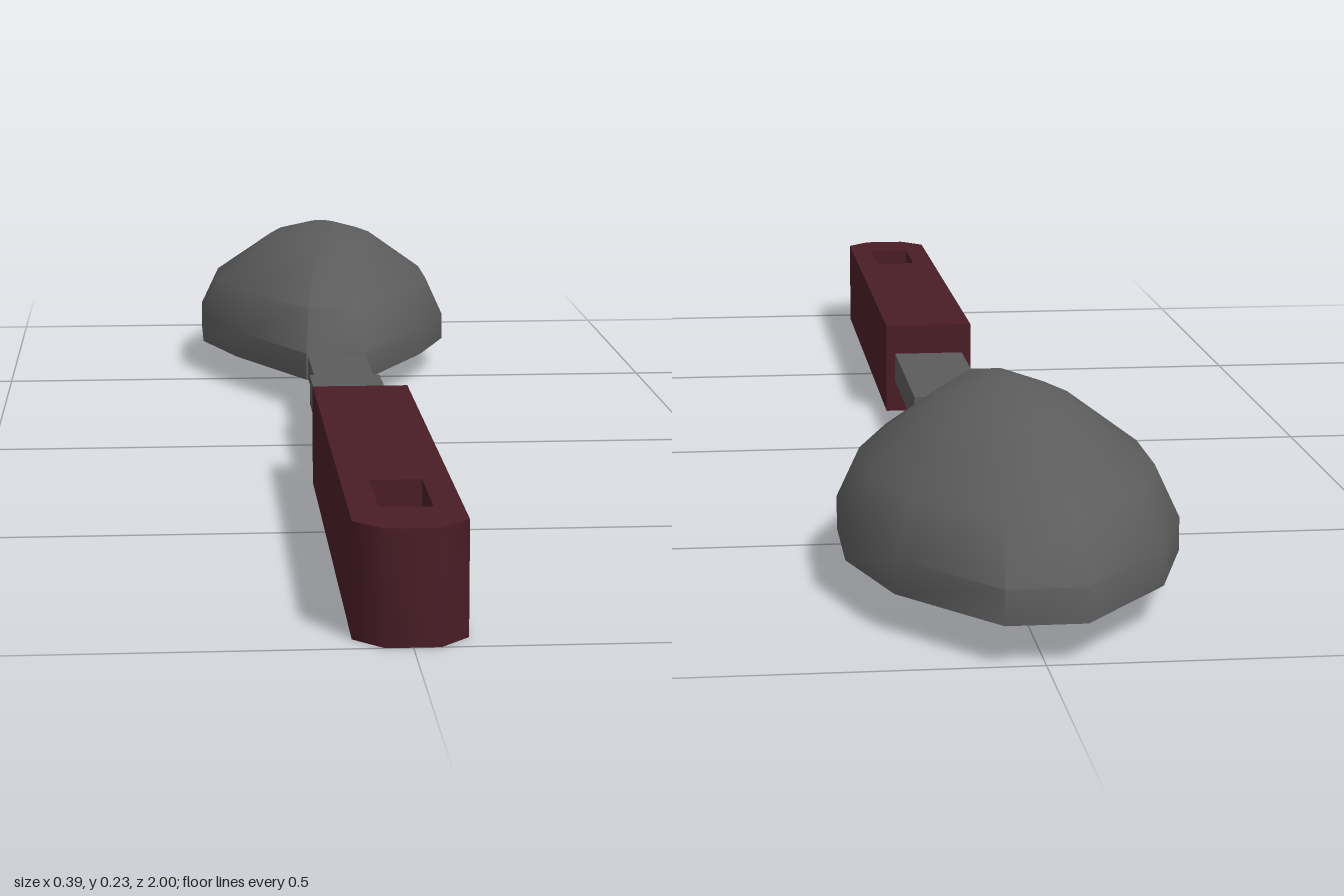
import * as THREE from 'three';
import { toCreasedNormals } from 'three/addons/utils/BufferGeometryUtils.js';

const steel = new THREE.MeshStandardMaterial({ color: 0x5c5c5c });
const red = new THREE.MeshStandardMaterial({ color: 0x4a1d26 });

function part(name, geometry, material) {
  const mesh = new THREE.Mesh(geometry, material);
  mesh.name = name;
  return mesh;
}

// Upturned bowl: one outline scaled into rings, from the inner crown down to the rim and up the outside
function bowlGeometry() {
  const centreZ = -0.625;
  const side = [[0.045, -0.25], [0.145, -0.45], [0.194, -0.59], [0.194, -0.73], [0.15, -0.87], [0.045, -1]];
  const outline = [...side, ...side.map(([x, z]) => [-x, z]).reverse()];
  // [scale, height]
  const rings = [
    [0.11, 0.208], [0.38, 0.19], [0.78, 0.13], [0.9, 0.08], [0.9, 0.045],
    [1, 0.045], [1, 0.085], [0.86, 0.145], [0.41, 0.211], [0.13, 0.23],
  ];
  const n = outline.length;
  const positions = [];
  const index = [];
  for (const [s, y] of rings) {
    for (const [x, z] of outline) positions.push(x * s, y, centreZ + (z - centreZ) * s);
  }
  for (let r = 0; r < rings.length - 1; r++) {
    for (let i = 0; i < n; i++) {
      const a = r * n + i;
      const b = r * n + (i + 1) % n;
      index.push(a, b, b + n, a, b + n, a + n);
    }
  }
  // Close the inner and outer crowns
  const last = (rings.length - 1) * n;
  for (let i = 1; i < n - 1; i++) {
    index.push(0, i + 1, i);
    index.push(last, last + i, last + i + 1);
  }
  const geometry = new THREE.BufferGeometry();
  geometry.setAttribute('position', new THREE.Float32BufferAttribute(positions, 3));
  geometry.setIndex(index);
  return toCreasedNormals(geometry, 0.95);
}

// Grip with chamfered end and a rectangular hanging hole
function handleGeometry() {
  const points = (list) => list.map(([x, z]) => new THREE.Vector2(x, z));
  const shape = new THREE.Shape(points([
    [-0.063, 0.23], [0.063, 0.23], [0.063, 0.965], [0.03, 1], [-0.03, 1], [-0.063, 0.965],
  ]));
  shape.holes.push(new THREE.Path(points([
    [-0.03, 0.775], [-0.03, 0.905], [0.03, 0.905], [0.03, 0.775],
  ])));
  const geometry = new THREE.ExtrudeGeometry(shape, { depth: 0.13, bevelEnabled: false });
  geometry.rotateX(Math.PI / 2).translate(0, 0.13, 0);
  return toCreasedNormals(geometry, 0.9);
}

// Flat bar between two z positions
function bar(width, y0, y1, z0, z1) {
  return new THREE.BoxGeometry(width, y1 - y0, z1 - z0).translate(0, (y0 + y1) / 2, (z0 + z1) / 2);
}

export function createModel() {
  const group = new THREE.Group();
  group.name = 'servingSpoon';
  group.add(
    part('bowl', bowlGeometry(), steel),
    part('neck', bar(0.086, 0.048, 0.083, -0.26, -0.07), steel),
    part('stem', bar(0.1, 0.045, 0.087, -0.07, 0.25), steel),
    part('handle', handleGeometry(), red),
  );
  return group;
}
